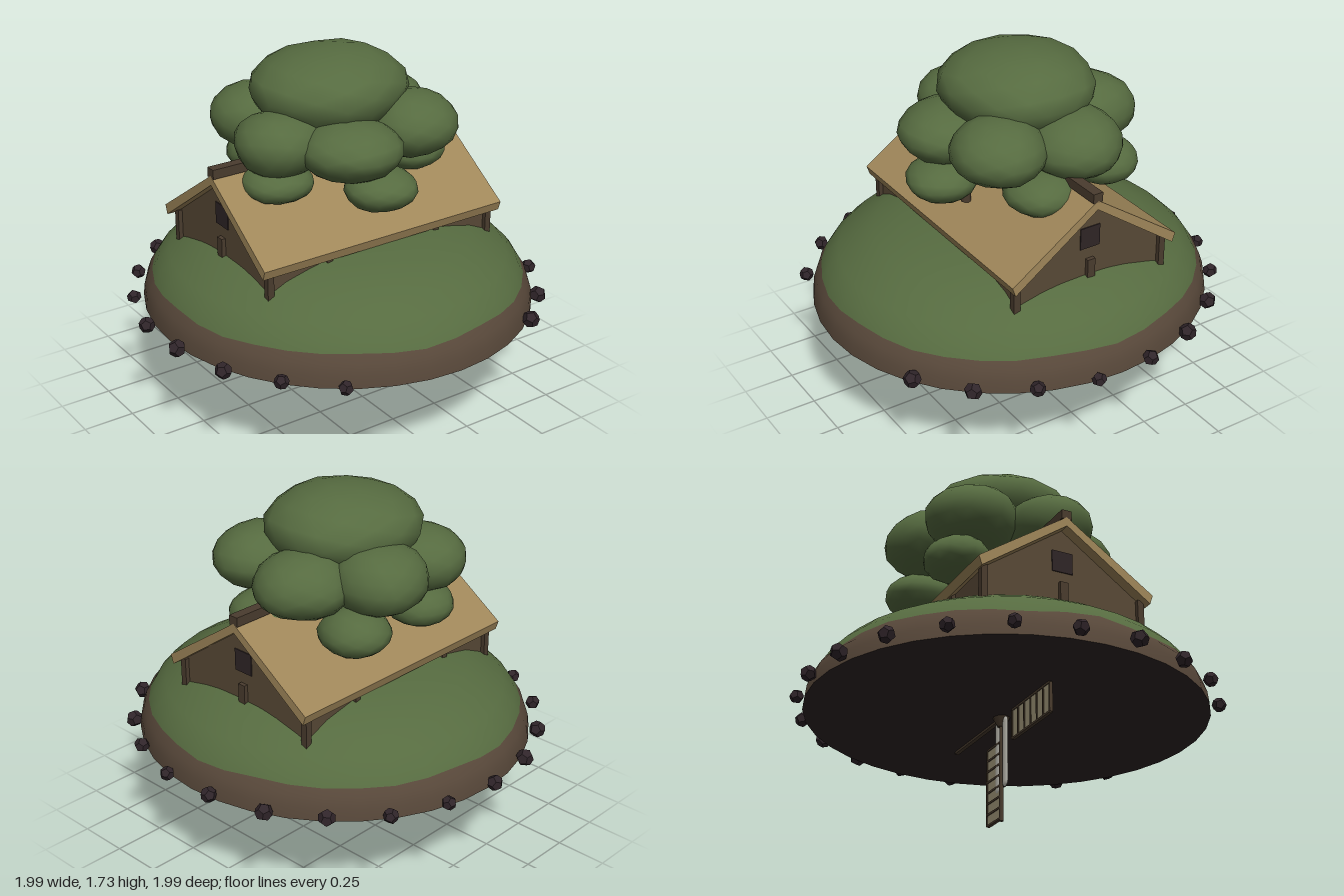
import * as THREE from 'three';
import { mergeVertices } from 'three/addons/utils/BufferGeometryUtils.js';

export function createModel() {
  const model = new THREE.Group();
  const mat = (name, color, extra = {}) => {
    const m = new THREE.MeshStandardMaterial({ color, ...extra });
    m.name = name;
    return m;
  };
  const grass = mat('leaf green', 0x566b40);
  const earth = mat('earth brown', 0x58483a);
  const thatch = mat('roof tan', 0xa0875a);
  const wall = mat('wall brown', 0x584936);
  const wood = mat('dark wood', 0x4a3c2e);
  const stone = mat('dark stone', 0x30252a, { flatShading: true });
  const under = mat('underside brown', 0x2f2526);
  const panelMat = mat('panel beige', 0xa0967a);
  const cloth = mat('pale cloth', 0xc8c6bc);

  const add = (name, geo, material, parent = model) => {
    const m = new THREE.Mesh(geo, material);
    m.name = name;
    parent.add(m);
    return m;
  };
  const box = (name, material, x0, x1, y0, y1, z0, z1, parent) =>
    add(name, new THREE.BoxGeometry(x1 - x0, y1 - y0, z1 - z0)
      .translate((x0 + x1) / 2, (y0 + y1) / 2, (z0 + z1) / 2), material, parent);
  // tapered round bar between two points
  const bar = (name, a, b, r0, r1, material, parent) => {
    const A = new THREE.Vector3(...a), d = new THREE.Vector3(...b).sub(A);
    const geo = new THREE.CylinderGeometry(r1, r0, d.length(), 8).translate(0, d.length() / 2, 0);
    const m = add(name, geo, material, parent);
    m.position.copy(A);
    m.quaternion.setFromUnitVectors(new THREE.Vector3(0, 1, 0), d.normalize());
    return m;
  };

  // island mound: earth rim, grassy dome, flat dark underside
  const RX = 0.925, RZ = 0.96, CZ = 0.03, BASE = 0.505;
  const dome = (name, pts, material, wavy) => {
    const geo = new THREE.LatheGeometry(pts.map(p => new THREE.Vector2(...p)), 36);
    geo.scale(RX, 1, RZ).translate(0, 0, CZ);
    const p = geo.attributes.position;
    // slightly uneven border between earth and grass
    for (let i = 0; i < p.count; i++) {
      if (Math.abs(p.getY(i) - wavy) > 1e-4) continue;
      const a = Math.atan2(p.getX(i), p.getZ(i));
      p.setY(i, wavy + 0.007 * Math.sin(a * 7) + 0.005 * Math.sin(a * 11));
    }
    add(name, geo, material);
  };
  dome('earthRim', [[1, BASE], [0.993, 0.56], [0.975, 0.61], [0.95, 0.645]], earth, 0.645);
  dome('grassDome', [[0.95, 0.645], [0.92, 0.69], [0.86, 0.745], [0.77, 0.795], [0.68, 0.84],
    [0.55, 0.875], [0.4, 0.903], [0.2, 0.92], [0, 0.925]], grass, 0.645);
  add('underside', new THREE.CircleGeometry(1, 36).rotateX(Math.PI / 2)
    .scale(RX, 1, RZ).translate(0, BASE, CZ), under);

  // ring of stones, left open at the front
  const rocks = new THREE.Group();
  rocks.name = 'stoneRing';
  model.add(rocks);
  for (let i = -9; i <= 9; i++) {
    const a = i * Math.PI * 2 / 22;
    const r = add('stone', new THREE.DodecahedronGeometry(0.038 + 0.004 * Math.sin(i * 5)), stone, rocks);
    r.position.set(0.965 * Math.sin(a) - 0.01, 0.54 + 0.006 * Math.sin(i * 3), CZ - 0.99 * Math.cos(a));
    r.rotation.set(i * 1.3, i * 2.1, i * 0.7);
  }

  // house: cross-sections drawn as (z, y) and extruded along x
  const alongX = (pts, length) => new THREE.ExtrudeGeometry(
    new THREE.Shape(pts.map(p => new THREE.Vector2(...p))), { depth: length, bevelEnabled: false })
    .translate(0, 0, -length / 2).rotateY(-Math.PI / 2);
  const house = new THREE.Group();
  house.name = 'house';
  model.add(house);
  add('walls', alongX([[-0.39, 0.74], [0.39, 0.74], [0.39, 0.94], [0, 1.21], [-0.39, 0.94]], 1.22), wall, house);
  add('roof', alongX([[-0.44, 0.945], [-0.425, 0.9], [0, 1.2], [0.425, 0.9], [0.44, 0.945], [0, 1.245]], 1.33),
    thatch, house);
  box('ridgeBeam', wood, -0.665, 0.665, 1.235, 1.28, -0.025, 0.025, house);
  for (const s of [-1, 1]) {
    for (const t of [-1, 1]) {
      const x = s * 0.615, z = t * 0.395;
      box('cornerPost', wood, x - 0.016, x + 0.016, 0.735, 0.925, z - 0.016, z + 0.016, house);
      for (const px of [0.1, 0.3])
        box('wallPost', wood, s * px - 0.015, s * px + 0.015, 0.8, 0.93, z - 0.014, z + 0.014, house);
    }
    box('gablePost', wood, s * 0.615 - 0.015, s * 0.615 + 0.015, 0.8, 0.93, -0.02, 0.02, house);
    box('gableWindow', under, s * 0.611 - 0.004, s * 0.611 + 0.004, 0.985, 1.09, -0.052, 0.052, house);
  }

  // tree: leaf clumps given as centre and radii
  const clumps = [
    [-0.01, 1.53, -0.02, 0.375, 0.2, 0.36],
    [-0.11, 1.345, 0.29, 0.235, 0.14, 0.24],
    [0.26, 1.38, 0.25, 0.22, 0.155, 0.22],
    [0.33, 1.36, -0.1, 0.23, 0.155, 0.23],
    [0.09, 1.38, -0.34, 0.225, 0.16, 0.225],
    [-0.25, 1.37, -0.28, 0.225, 0.15, 0.225],
    [-0.35, 1.36, 0.08, 0.21, 0.15, 0.21],
    [-0.01, 1.165, 0.39, 0.17, 0.1, 0.165],
    [0.37, 1.185, 0.1, 0.165, 0.1, 0.17],
    [0.24, 1.17, -0.33, 0.165, 0.11, 0.17],
    [-0.2, 1.17, -0.33, 0.165, 0.1, 0.165],
    [-0.38, 1.185, 0.1, 0.175, 0.085, 0.17],
  ];
  const tree = new THREE.Group();
  tree.name = 'tree';
  model.add(tree);
  bar('trunk', [0, 0.9, 0], [0, 1.5, 0], 0.06, 0.035, wood, tree);
  clumps.forEach(([x, y, z, rx, ry, rz], i) => {
    let geo = new THREE.IcosahedronGeometry(1, 2);
    geo.deleteAttribute('normal');
    geo.deleteAttribute('uv');
    geo = mergeVertices(geo, 1e-3);
    const p = geo.attributes.position, v = new THREE.Vector3();
    for (let k = 0; k < p.count; k++) {
      v.fromBufferAttribute(p, k);
      v.multiplyScalar(1 + 0.035 * Math.sin(4 * v.x + i) * Math.cos(3 * v.z + 2 * i) + 0.02 * Math.sin(5 * v.y + i));
      p.setXYZ(k, v.x, v.y, v.z);
    }
    geo.rotateY(i * 1.7).scale(rx, ry, rz);
    geo.computeVertexNormals();
    add('leafClump', geo, grass, tree).position.set(x, y, z);
    if (i) bar('branch', [x * 0.15, y - 0.2, z * 0.15], [x * 0.9, y, z * 0.9], 0.028, 0.014, wood, tree);
  });
  bar('frontTwig', [0.05, 1.05, 0.3], [0.06, 1.2, 0.3], 0.025, 0.016, wood, tree);
  box('treeCloth', cloth, 0.13, 0.19, 1.12, 1.25, -0.15, -0.12, tree);

  // hanging gear below the island
  const hanging = new THREE.Group();
  hanging.name = 'hangingGear';
  model.add(hanging);
  bar('pole', [0, 0, 0], [0, 0.5, 0], 0.01, 0.01, wood, hanging);
  bar('poleCap', [0, 0.46, 0], [0, 0.505, 0], 0.018, 0.042, wood, hanging);
  box('crossBeam', wood, 0, 0.5, 0.493, 0.507, -0.01, 0.01, hanging);
  const slatted = (name, x0, x1, y0, y1, count, upright) => {
    const g = new THREE.Group();
    g.name = name;
    hanging.add(g);
    box('panel', panelMat, x0, x1, y0, y1, -0.004, 0.004, g);
    const w = 0.005, d = 0.008;
    for (let i = 0; i <= count; i++) {
      const x = x0 + (x1 - x0) * i / count, y = y0 + (y1 - y0) * i / count;
      if (upright) box('slat', wood, x - w, x + w, y0, y1, -d, d, g);
      else box('rung', wood, x0, x1, y - w, y + w, -d, d, g);
    }
    for (const t of [0, 1]) {
      const x = x0 + (x1 - x0) * t, y = y0 + (y1 - y0) * t;
      if (upright) box('rail', wood, x0, x1, y - w, y + w, -d, d, g);
      else box('rail', wood, x - w, x + w, y0, y1, -d, d, g);
    }
  };
  slatted('sidePanel', -0.485, -0.12, 0.36, 0.5, 6, true);
  slatted('ladder', 0.005, 0.14, 0.015, 0.385, 7, false);
  for (const [x, y] of [[-0.038, 0.155], [0.035, 0.14]]) {
    const len = 0.5 - y;
    add('clothStrip', new THREE.CapsuleGeometry(0.025, len - 0.05, 4, 10).scale(1, 1, 0.3), cloth, hanging)
      .position.set(x, y + len / 2, 0);
  }
  return model;
}
